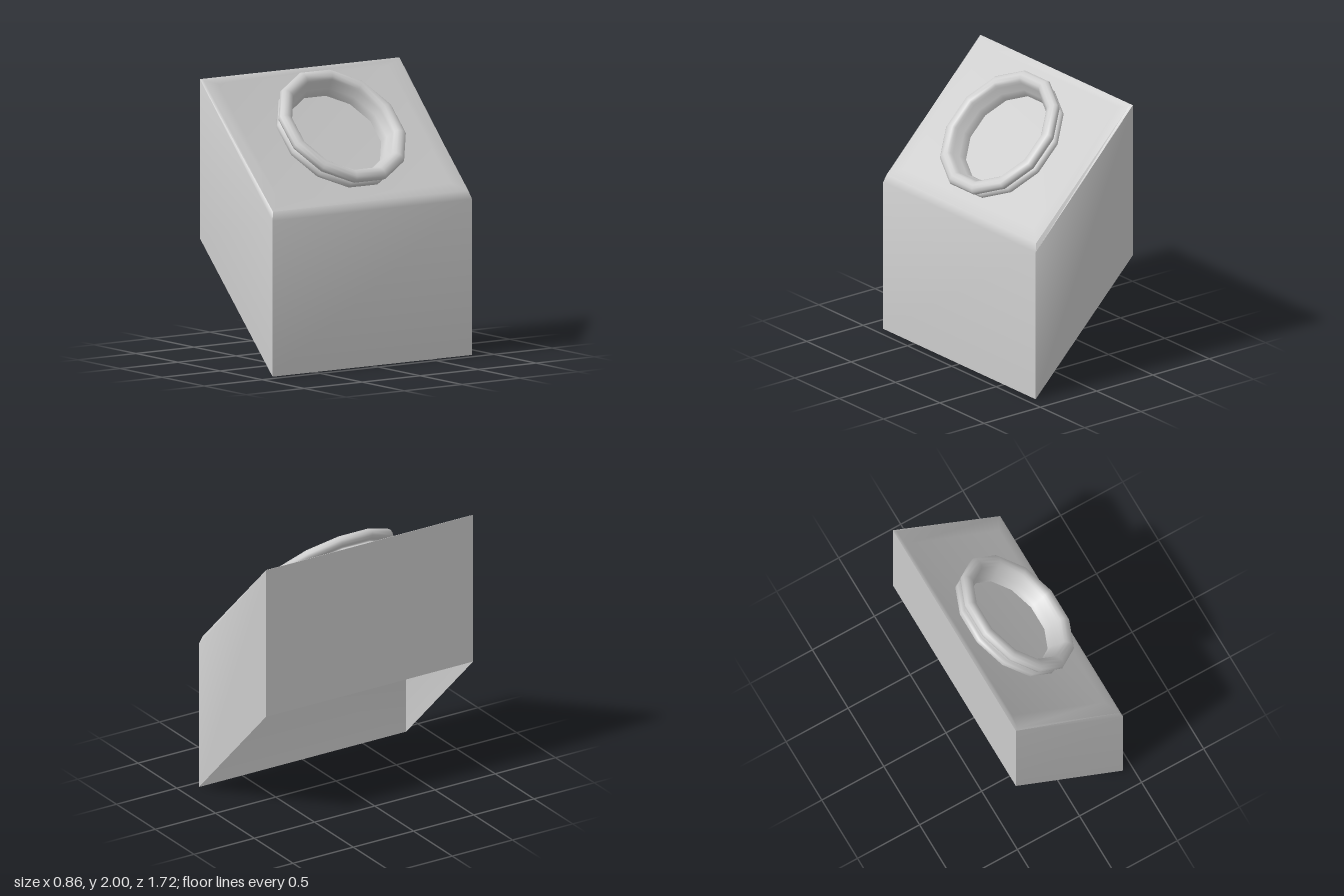
import * as THREE from 'three';
import { toCreasedNormals } from 'three/addons/utils/BufferGeometryUtils.js';

const material = new THREE.MeshStandardMaterial({ color: 0xcccccc, side: THREE.DoubleSide });

// Slanted rectangular shell, open underneath, with a bevelled top frame
function makeBody() {
  // xLeft, xRight, half depth, y at left, y at right
  const sections = [
    [-0.432, 0.432, 0.86, 0.87, 0],
    [-0.432, 0.432, 0.86, 1.995, 1.1],
    [-0.41, 0.412, 0.842, 1.985, 1.16],
    [-0.39, 0.35, 0.735, 1.955, 1.215],
  ];
  const positions = [];
  const index = [];
  sections.forEach(([x0, x1, z, y0, y1], s) => {
    positions.push(x1, y1, z, x1, y1, -z, x0, y0, -z, x0, y0, z);
    if (s === 0) return;
    for (let i = 0; i < 4; i++) {
      const a = (s - 1) * 4 + i;
      const b = (s - 1) * 4 + ((i + 1) % 4);
      index.push(a, b, b + 4, a, b + 4, a + 4);
    }
  });
  // Flat sloping panel inside the frame
  const top = (sections.length - 1) * 4;
  index.push(top, top + 1, top + 2, top, top + 2, top + 3);

  const geometry = new THREE.BufferGeometry();
  geometry.setAttribute('position', new THREE.Float32BufferAttribute(positions, 3));
  geometry.setIndex(index);
  return toCreasedNormals(geometry, 0.6);
}

// Twelve-sided collar: foot flange, narrow neck, rounded lip and open bore
function makeCollar() {
  const sides = 12;
  const fit = 1 / Math.cos(Math.PI / sides);
  const profile = [[0.435, -0.01], [0.455, 0.012], [0.455, 0.035], [0.44, 0.05], [0.422, 0.058], [0.422, 0.07]];
  // Rounded lip, from the outside of the neck over to the bore
  for (let i = 0; i <= 8; i++) {
    const a = THREE.MathUtils.degToRad(-70 + i * 32);
    profile.push([0.432 + 0.048 * Math.cos(a), 0.11 + 0.04 * Math.sin(a)]);
  }
  profile.push([0.36, 0.06], [0.347, 0.03], [0.345, -0.01]);
  const points = profile.map(([r, y]) => new THREE.Vector2(r * fit, y));
  return new THREE.LatheGeometry(points, sides, Math.PI / sides);
}

export function createModel() {
  const model = new THREE.Group();

  const body = new THREE.Mesh(makeBody(), material);
  body.name = 'slantedBody';
  model.add(body);

  // Collar stands square to the sloping panel
  const collar = new THREE.Mesh(makeCollar(), material);
  collar.name = 'collarRing';
  collar.position.set(-0.005, 1.57, 0);
  collar.rotation.z = -Math.PI / 4;
  model.add(collar);

  return model;
}
